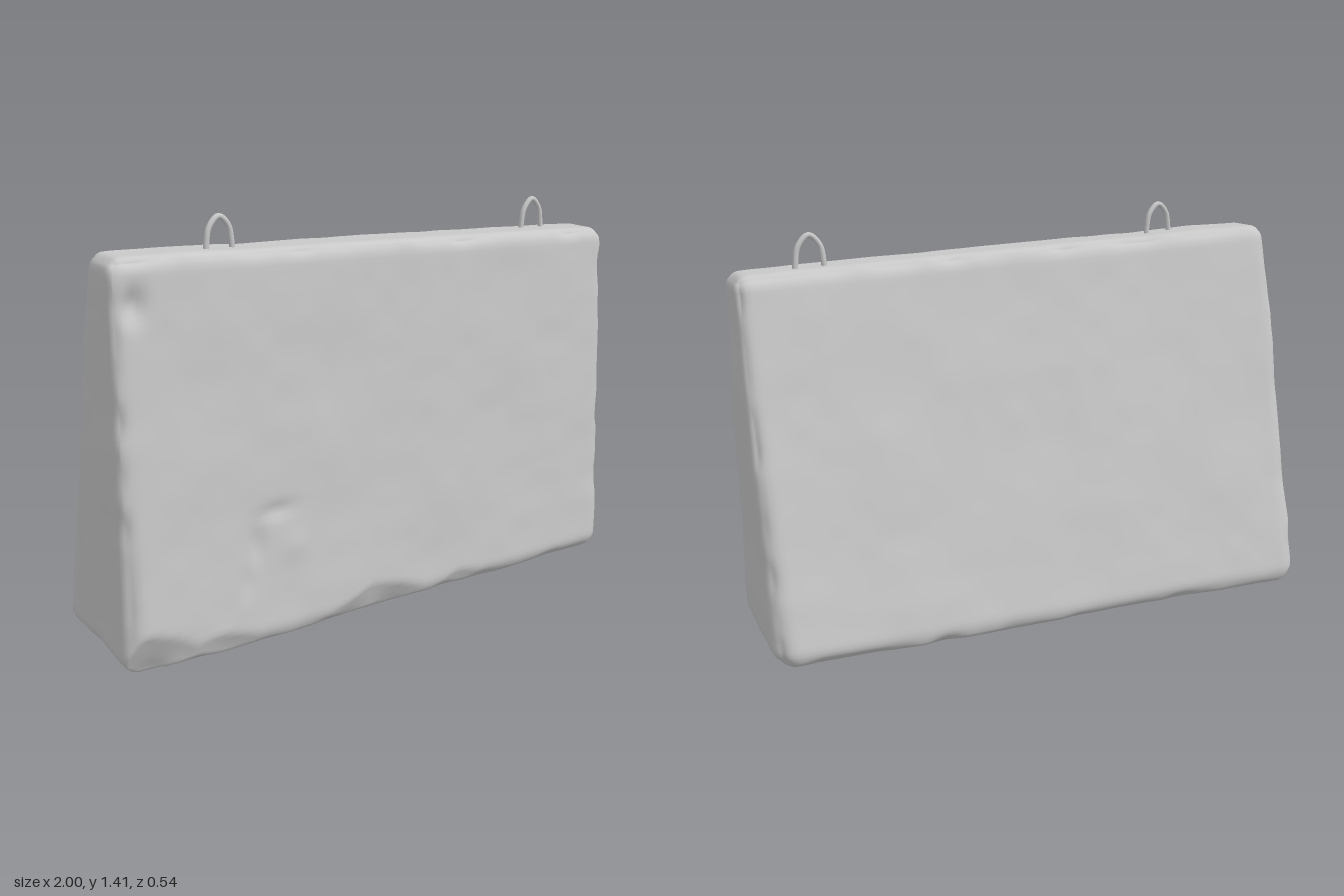
import * as THREE from 'three';
import { mergeVertices } from 'three/addons/utils/BufferGeometryUtils.js';

const lerp = THREE.MathUtils.lerp, clamp = THREE.MathUtils.clamp;

// smooth seeded value noise, -1..1
function hash(x, y, z) {
  let h = 17;
  for (const c of [x, y, z]) {
    h = Math.imul(h ^ (c + 101), 0x85ebca6b);
    h = Math.imul(h ^ (h >>> 13), 0xc2b2ae35);
    h ^= h >>> 16;
  }
  return (h >>> 0) / 2147483648 - 1;
}
function noise(x, y, z) {
  const i = Math.floor(x), j = Math.floor(y), k = Math.floor(z);
  const s = t => t * t * (3 - 2 * t);
  const a = s(x - i), b = s(y - j), c = s(z - k);
  const row = (dj, dk) => lerp(hash(i, j + dj, k + dk), hash(i + 1, j + dj, k + dk), a);
  return lerp(lerp(row(0, 0), row(1, 0), b), lerp(row(0, 1), row(1, 1), b), c);
}

// dents in the front face: x, y, width, height, depth
const dents = [
  [-0.89, 1.18, 0.035, 0.05, 0.03],
  [-0.53, 0.36, 0.03, 0.07, 0.014],
  [-0.45, 0.46, 0.06, 0.025, 0.012],
  [-0.57, 0.24, 0.03, 0.05, 0.008],
  [-0.38, 0.33, 0.05, 0.05, -0.006],
];
// worn stretches of the front bottom edge: x, width, height
const wear = [[-1, 0.28, 0.18], [-0.68, 0.2, 0.11], [-0.05, 0.24, 0.13], [0.3, 0.2, 0.09]];
const bell = t => Math.exp(-t * t);

// tapered, rounded and weathered concrete slab
function slabGeometry() {
  const geo = new THREE.BoxGeometry(2, 2, 2, 110, 74, 30);
  geo.deleteAttribute('uv');
  geo.deleteAttribute('normal');
  const pos = geo.attributes.position;
  const p = new THREE.Vector3(), inner = new THREE.Vector3(), n = new THREE.Vector3();
  const hy = 0.65;
  for (let i = 0; i < pos.count; i++) {
    p.fromBufferAttribute(pos, i);
    const t = (p.y + 1) / 2;
    const hz = lerp(0.278, 0.095, t);
    const r = lerp(0.072, 0.045, Math.min(1, t * 1.5));
    p.set(p.x, p.y * hy, p.z * hz);
    inner.set(clamp(p.x, r - 1, 1 - r), clamp(p.y, r - hy, hy - r), clamp(p.z, r - hz, hz - r));
    n.subVectors(p, inner).normalize();
    p.copy(inner).addScaledVector(n, r);

    // uneven surface, rougher along the edges
    const edge = 1 - Math.max(Math.abs(n.x), Math.abs(n.y), Math.abs(n.z));
    const broad = noise(p.x * 4 + 9, p.y * 4, p.z * 4);
    const fine = noise(p.x * 12, p.y * 12 + 5, p.z * 12);
    p.addScaledVector(n, 0.005 * broad + 0.0015 * fine + edge * (0.03 * fine - 0.01));

    // lean, sloping top and slightly narrowing ends
    const v = (p.y + hy) / (2 * hy);
    const x = lerp(lerp(-1, -0.953, v), lerp(0.976, 0.995, v), (p.x + 1) / 2);
    let y = 0.008 + v * lerp(1.319, 1.239, (x + 1) / 2);
    let z = p.z + lerp(-0.004, 0.08, v);

    if (n.z > 0.3) {
      for (const [dx, dy, w, h, d] of dents) z -= d * bell((x - dx) / w) * bell((y - dy) / h);
    }
    // broken front bottom edge
    let c = 0.04;
    for (const [wx, w, h] of wear) c = Math.max(c, h * bell((x - wx) / w));
    c += 0.025 * noise(x * 11, y * 9, z * 9);
    const cut = c - (y + 2.4 * (0.272 - z));
    if (cut > 0) {
      y += cut * 0.15;
      z -= cut * 0.35;
    }
    pos.setXYZ(i, x, Math.max(y, 0), z);
  }
  const welded = mergeVertices(geo, 1e-5);
  welded.computeVertexNormals();
  return welded;
}

// bent lifting loop
function liftingLoop(width, height) {
  const w = width / 2;
  const path = new THREE.CatmullRomCurve3([
    [-w, -0.05], [-w * 0.95, 0.02], [-w * 0.72, height * 0.7], [0, height],
    [w * 0.72, height * 0.7], [w * 0.95, 0.02], [w, -0.05],
  ].map(([x, y]) => new THREE.Vector3(x, y, 0)));
  return new THREE.TubeGeometry(path, 40, 0.0095, 10);
}

export function createModel() {
  const model = new THREE.Group();
  model.name = 'concreteBarrier';
  const concrete = new THREE.MeshStandardMaterial({ color: 0xc8c8c8 });
  concrete.name = 'concrete grey';

  const slab = new THREE.Mesh(slabGeometry(), concrete);
  slab.name = 'slab';
  model.add(slab);

  // x, base y, z, height, turn
  const loops = [['rightLoop', -0.558, 1.305, 0.092, 0.103, 0.14], ['leftLoop', 0.735, 1.25, 0.06, 0.112, 0.06]];
  for (const [name, x, y, z, h, turn] of loops) {
    const loop = new THREE.Mesh(liftingLoop(0.1, h), concrete);
    loop.name = name;
    loop.position.set(x, y, z);
    loop.rotation.y = turn;
    model.add(loop);
  }
  return model;
}
